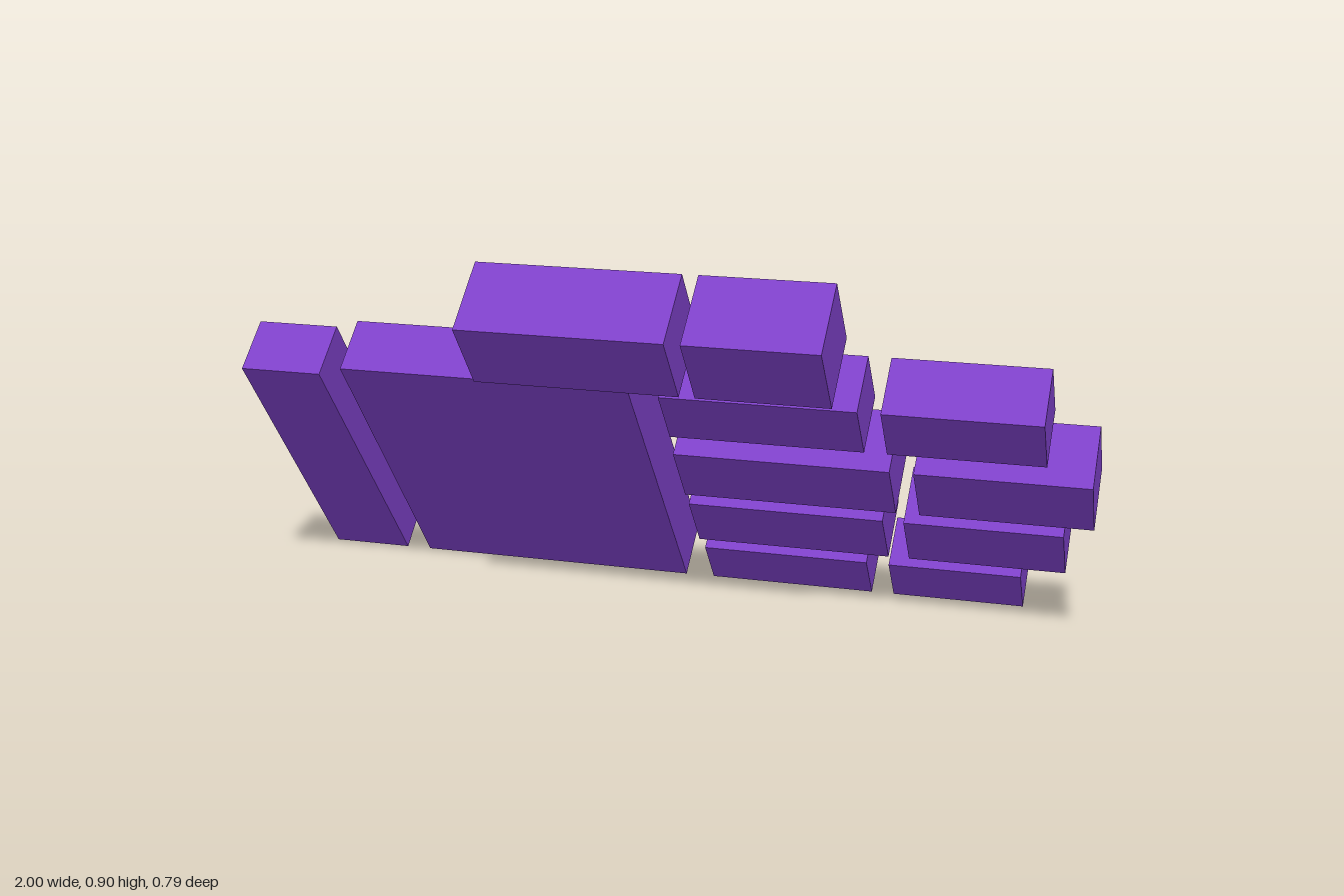
import * as THREE from 'three';

const TILT = 0.687; // whole hand leans forward about x

export function createModel() {
  const hand = new THREE.Group();
  hand.name = 'blockHand';
  const purple = new THREE.MeshStandardMaterial({ color: 0x7d40c8 });

  // Tilted block spanning x0..x1, centred at (y, z), with height h and thickness t
  function block(name, x0, x1, y, z, h, t, parent = hand) {
    const mesh = new THREE.Mesh(new THREE.BoxGeometry(x1 - x0, h, t), purple);
    mesh.name = name;
    mesh.position.set((x0 + x1) / 2, y, z);
    mesh.rotation.x = TILT;
    parent.add(mesh);
  }

  // Wrist and palm
  block('wristCuff', -1, -0.8, 0.346, -0.088, 0.77, 0.142);
  block('palm', -0.74, -0.036, 0.355, -0.086, 0.8, 0.142);

  // Digits: each has two segments of the same square section
  const digits = [
    // name, inner x0, x1, outer x0, x1, y, z, size
    ['thumb', -0.386, 0.098, 0.135, 0.444, 0.7635, 0.2585, 0.194],
    ['indexFinger', 0.038, 0.492, 0.544, 0.9, 0.6, 0.122, 0.155],
    ['middleFinger', 0.037, 0.545, 0.6, 1, 0.4275, -0.017, 0.17],
    ['ringFinger', 0.035, 0.507, 0.557, 0.929, 0.26, -0.157, 0.159],
    ['littleFinger', 0.037, 0.445, 0.5, 0.82, 0.1, -0.29, 0.138],
  ];
  for (const [name, a0, a1, b0, b1, y, z, s] of digits) {
    const digit = new THREE.Group();
    digit.name = name;
    block(name + 'Base', a0, a1, y, z, s, s, digit);
    block(name + 'Tip', b0, b1, y, z, s, s, digit);
    hand.add(digit);
  }
  return hand;
}
